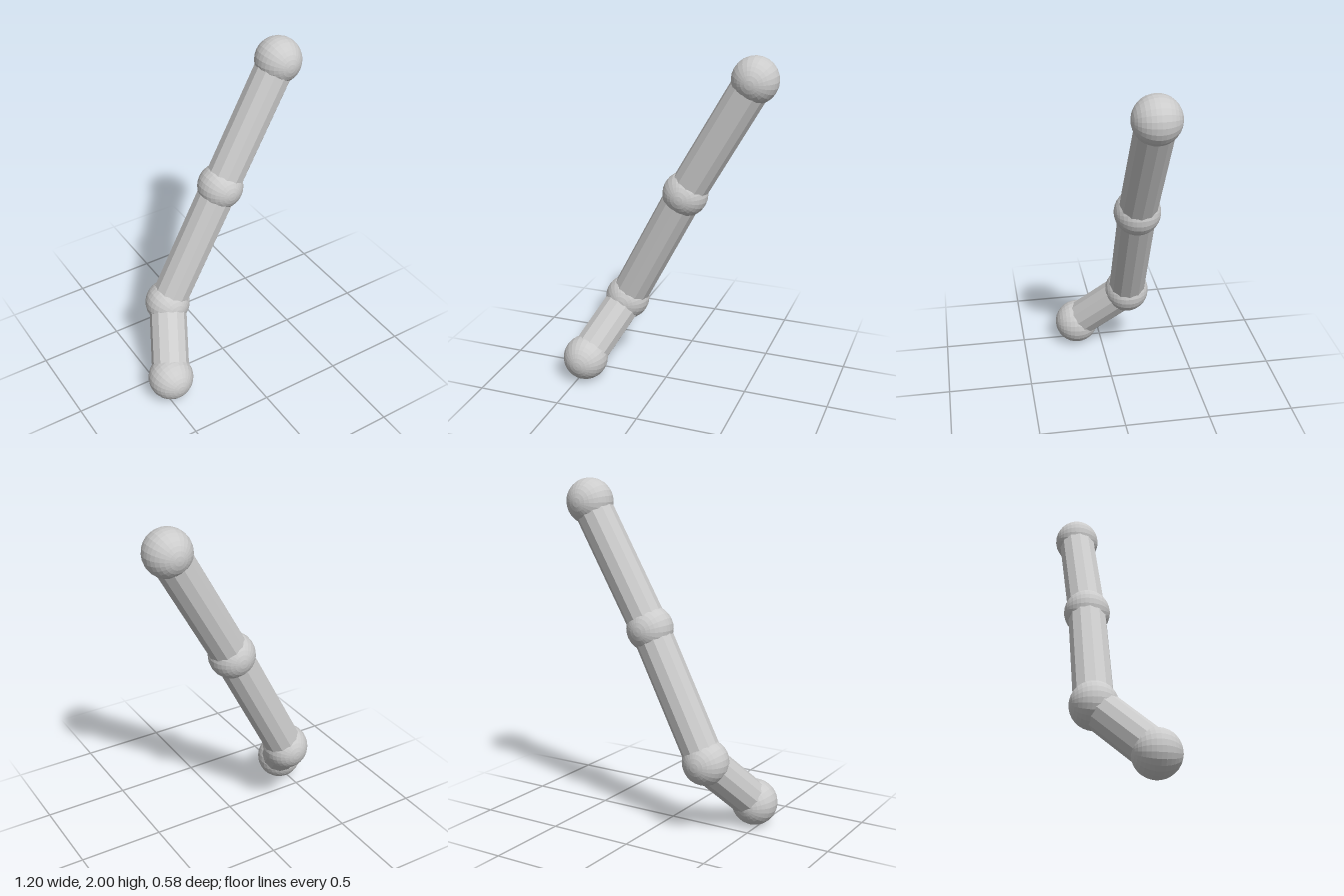
import * as THREE from 'three';

export function createModel() {
  const model = new THREE.Group();
  const material = new THREE.MeshStandardMaterial({ color: 0xcccccc, flatShading: true });

  // Ball joints, from the tip at the bottom to the top end
  const joints = [
    ['lowerEndBall', -0.465, 0.135, 0.155],
    ['lowerJointBall', -0.305, 0.435, -0.145],
    ['middleJointBall', 0.07, 1.162, -0.137],
    ['upperEndBall', 0.463, 1.865, -0.155],
  ];
  const ballGeometry = new THREE.SphereGeometry(0.135, 24, 16).rotateX(Math.PI / 2); // poles along z
  const points = joints.map(([name, x, y, z]) => {
    const ball = new THREE.Mesh(ballGeometry, material);
    ball.name = name;
    ball.position.set(x, y, z);
    model.add(ball);
    return ball.position;
  });

  // Straight rods between neighbouring joints
  const up = new THREE.Vector3(0, 1, 0);
  ['lowerRod', 'middleRod', 'upperRod'].forEach((name, i) => {
    const direction = points[i + 1].clone().sub(points[i]);
    const rod = new THREE.Mesh(new THREE.CylinderGeometry(0.112, 0.112, direction.length(), 12), material);
    rod.name = name;
    rod.position.copy(points[i]).lerp(points[i + 1], 0.5);
    rod.quaternion.setFromUnitVectors(up, direction.normalize());
    model.add(rod);
  });

  return model;
}
